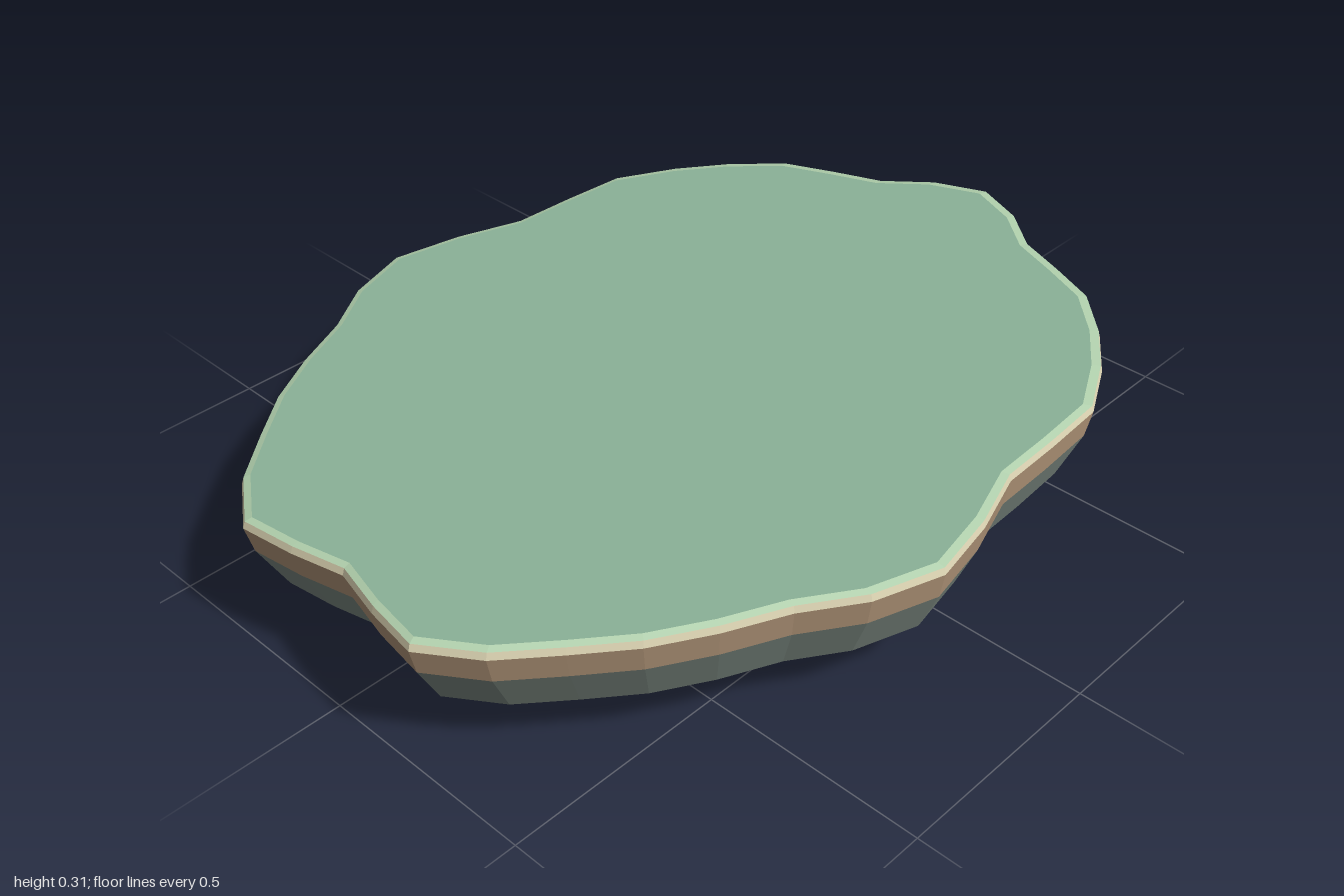
import * as THREE from 'three';

// Right half of the outline, back tip to front notch, as [x, z]
const HALF = [
  [0, -1], [0.12, -0.95], [0.22, -0.865], [0.335, -0.82], [0.45, -0.77], [0.55, -0.67], [0.63, -0.56],
  [0.7, -0.425], [0.71, -0.27], [0.715, -0.12], [0.765, 0.03], [0.795, 0.19], [0.745, 0.34],
  [0.665, 0.46], [0.605, 0.59], [0.535, 0.71], [0.45, 0.815], [0.36, 0.92], [0.245, 0.998],
  [0.12, 0.98], [0, 0.952],
];
// Mirror it into a closed loop
const OUTLINE = [...HALF, ...HALF.slice(1, -1).reverse().map(([x, z]) => [-x, z])];

// Levels from the ground up: height, outline scale, shift in z
const LEVELS = [
  { y: 0, s: 0.753, dz: 0.008 },
  { y: 0.127, s: 0.927, dz: 0.003 },
  { y: 0.233, s: 0.985, dz: 0 },
  { y: 0.295, s: 1, dz: 0 },
  { y: 0.31, s: 0.995, dz: 0 },
  { y: 0.315, s: 0.975, dz: 0.006 },
];

// Band between each pair of levels
const BANDS = [
  ['rockBase', 0x474d4d],
  ['rockSide', 0x7d8a82],
  ['soilBand', 0xb3977a],
  ['sandRim', 0xe0d8b6],
  ['grassEdge', 0xb0cfac],
];

const material = (color) => new THREE.MeshStandardMaterial({ color, flatShading: true });

const ring = ({ y, s, dz }) => OUTLINE.map(([x, z]) => [x * s, y, z * s + dz]);

function band(lower, upper) {
  const a = ring(lower), b = ring(upper), pos = [];
  for (let i = 0; i < a.length; i++) {
    const j = (i + 1) % a.length;
    pos.push(...a[i], ...b[i], ...b[j], ...a[i], ...b[j], ...a[j]);
  }
  const g = new THREE.BufferGeometry();
  g.setAttribute('position', new THREE.Float32BufferAttribute(pos, 3));
  g.computeVertexNormals();
  return g;
}

// Flat cap filling a level, facing up or down
function cap(level, up) {
  const k = up ? -1 : 1;
  const shape = new THREE.Shape(ring(level).map(([x, , z]) => new THREE.Vector2(x, k * z)));
  return new THREE.ShapeGeometry(shape).rotateX((k * Math.PI) / 2).translate(0, level.y, 0);
}

export function createModel() {
  const group = new THREE.Group();
  group.name = 'islandPlatform';
  const add = (name, geometry, color) => {
    const mesh = new THREE.Mesh(geometry, material(color));
    mesh.name = name;
    group.add(mesh);
  };

  // Stacked side bands
  BANDS.forEach(([name, color], i) => add(name, band(LEVELS[i], LEVELS[i + 1]), color));

  // Top lawn and underside
  add('grassTop', cap(LEVELS[LEVELS.length - 1], true), 0x8bb298);
  add('underside', cap(LEVELS[0], false), 0x474d4d);
  return group;
}
